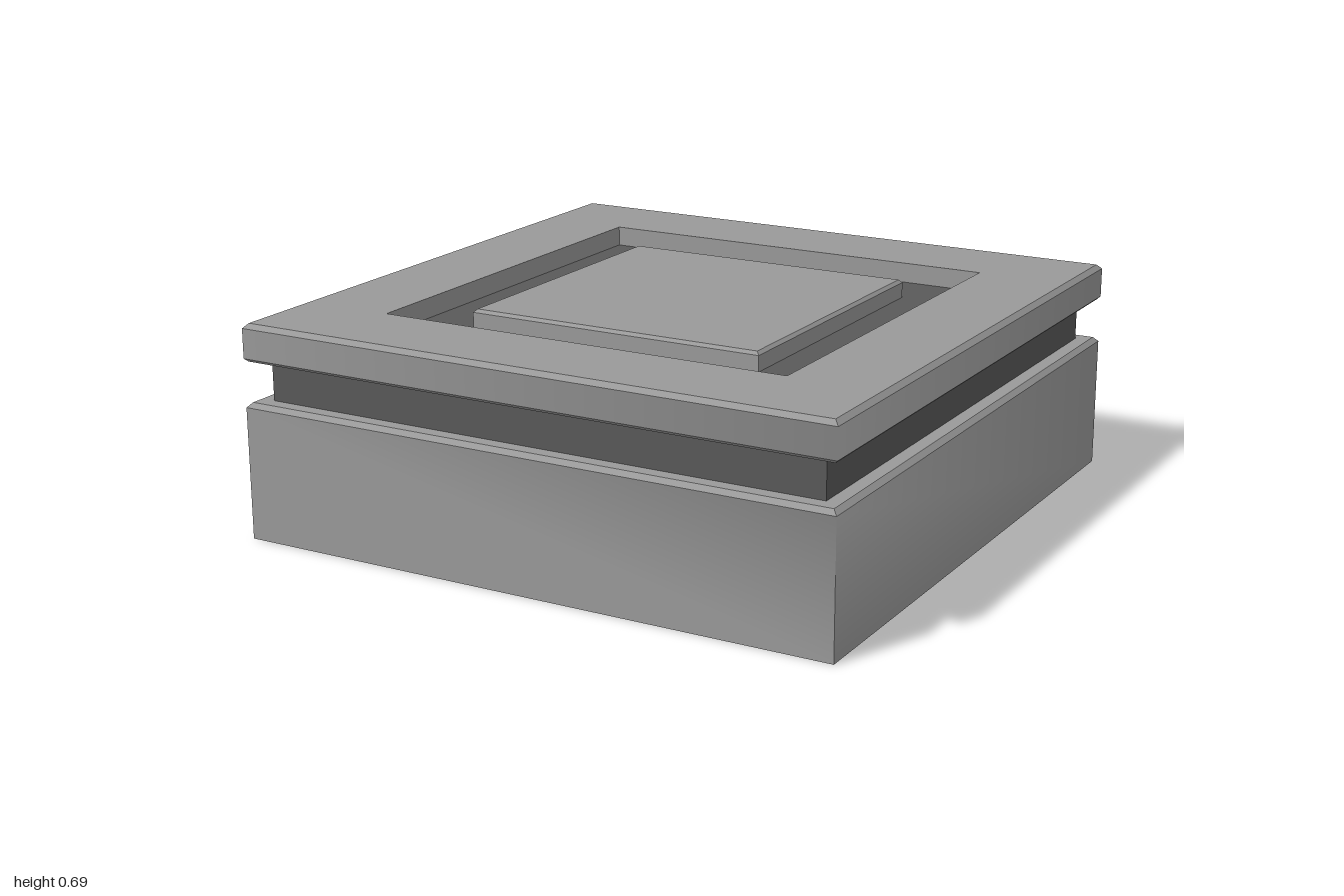
import * as THREE from 'three';

// Sweeps a profile of [half width, height, soft edge?] around a square.
// Soft edges share a diagonal normal at the corners, the rest stay crisp.
function squareLathe(profile) {
  const position = [], normal = [];
  const up = new THREE.Vector3(0, 1, 0);
  for (let i = 0; i < profile.length - 1; i++) {
    const [r0, y0, soft0] = profile[i];
    const [r1, y1, soft1] = profile[i + 1];
    const wall = r0 === r1;
    const face = new THREE.Vector3(0, r0 - r1, y1 - y0).normalize();
    const corners = [[-r0, y0, r0], [r0, y0, r0], [r1, y1, r1], [-r1, y1, r1]];
    const soft = [soft0, soft0, soft1, soft1];
    for (let side = 0; side < 4; side++) {
      for (const k of [0, 1, 3, 1, 2, 3]) {
        const p = new THREE.Vector3(...corners[k]).applyAxisAngle(up, side * Math.PI / 2);
        const n = face.clone();
        if (wall && soft[k]) n.set(Math.sign(corners[k][0]), 0, 1).normalize();
        n.applyAxisAngle(up, side * Math.PI / 2);
        position.push(p.x, p.y, p.z);
        normal.push(n.x, n.y, n.z);
      }
    }
  }
  const geometry = new THREE.BufferGeometry();
  geometry.setAttribute('position', new THREE.Float32BufferAttribute(position, 3));
  geometry.setAttribute('normal', new THREE.Float32BufferAttribute(normal, 3));
  return geometry;
}

export function createModel() {
  const group = new THREE.Group();
  const lightGrey = new THREE.MeshStandardMaterial({ color: 0x999999 });
  lightGrey.name = 'light grey';
  const darkGrey = new THREE.MeshStandardMaterial({ color: 0x595959 });
  darkGrey.name = 'dark grey';

  const add = (name, material, profile) => {
    const mesh = new THREE.Mesh(squareLathe(profile), material);
    mesh.name = name;
    group.add(mesh);
  };

  // Heavy block with a chamfered top edge
  add('base', lightGrey, [[0, 0], [1, 0], [1, 0.425, true], [0.985, 0.44], [0, 0.44]]);

  // Recessed core: the groove around the side and the floor inside the frame
  add('core', darkGrey, [[0.94, 0.43], [0.94, 0.57], [0.94, 0.625], [0, 0.625]]);

  // Square frame with an open middle
  add('topFrame', lightGrey, [
    [0.69, 0.625], [0.69, 0.57], [0.99, 0.57], [1, 0.58, true], [1, 0.675, true],
    [0.985, 0.69], [0.69, 0.69], [0.69, 0.625],
  ]);

  // Raised plate in the middle of the frame
  add('centrePlate', lightGrey, [[0.5, 0.62], [0.5, 0.675], [0.49, 0.685], [0, 0.685]]);

  return group;
}
